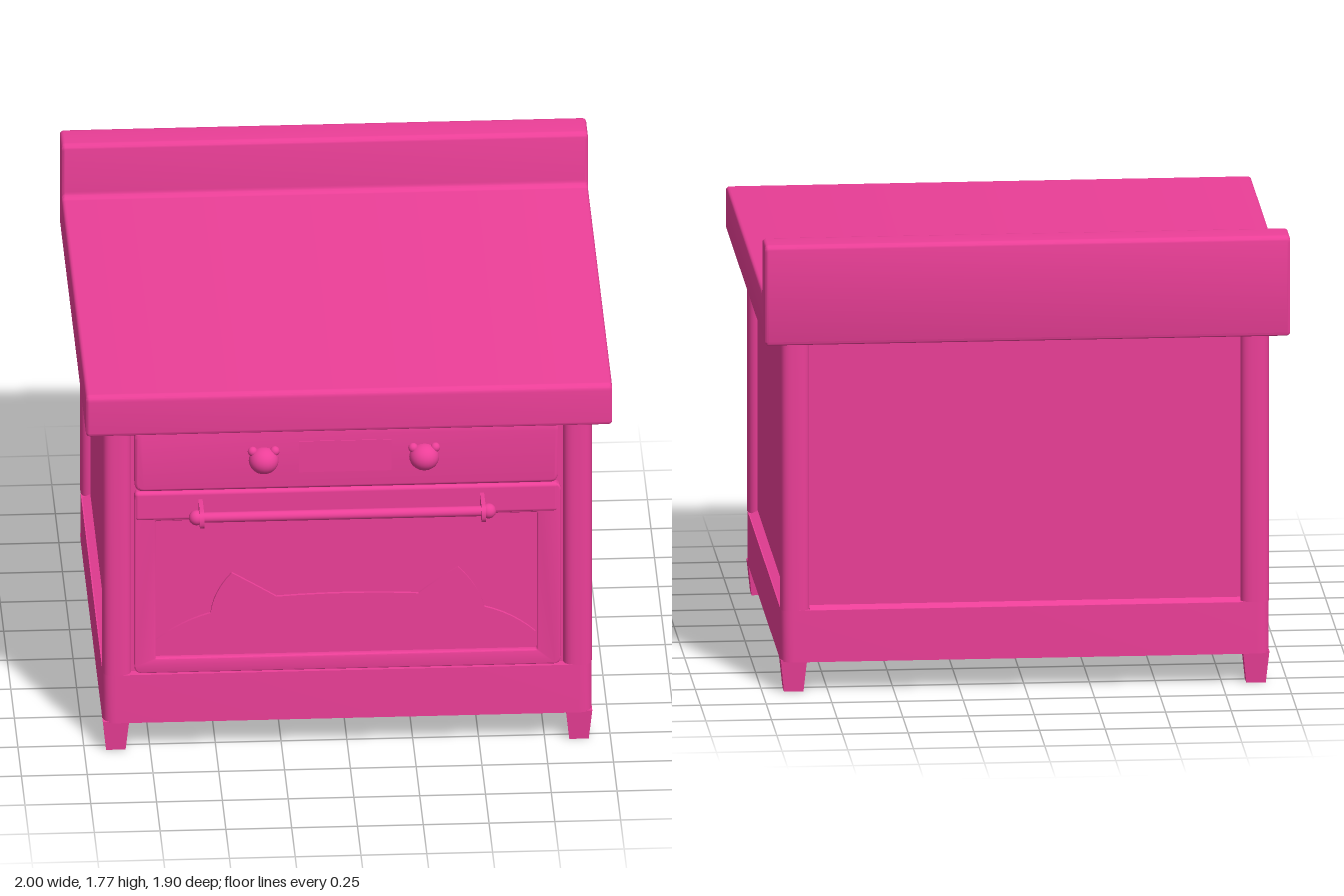
import * as THREE from 'three';
import { toCreasedNormals } from 'three/addons/utils/BufferGeometryUtils.js';
import { RoundedBoxGeometry } from 'three/addons/geometries/RoundedBoxGeometry.js';

const pink = new THREE.MeshStandardMaterial({ color: 0xec3f98 });

// closed outline with rounded corners; each point is [x, y, radius]
function roundedOutline(points, Type = THREE.Shape) {
  const s = new Type();
  const n = points.length;
  points.forEach(([x, y, r], i) => {
    const towards = ([px, py]) => {
      const d = Math.hypot(px - x, py - y);
      return [x + (px - x) * r / d, y + (py - y) * r / d];
    };
    const a = towards(points[(i + n - 1) % n]);
    const b = towards(points[(i + 1) % n]);
    if (i === 0) s.moveTo(...a); else s.lineTo(...a);
    s.quadraticCurveTo(x, y, ...b);
  });
  s.closePath();
  return s;
}

const rect = (x0, y0, x1, y1, r, Type) =>
  roundedOutline([[x0, y0, r], [x1, y0, r], [x1, y1, r], [x0, y1, r]], Type);

function extrude(shape, depth, bevel = 0) {
  const g = new THREE.ExtrudeGeometry(shape, {
    depth: depth - 2 * bevel, curveSegments: 6, bevelEnabled: bevel > 0,
    bevelSize: bevel, bevelThickness: bevel, bevelOffset: -bevel, bevelSegments: 3,
  });
  g.translate(0, 0, bevel);
  return toCreasedNormals(g, 0.6);
}

export function createModel() {
  const model = new THREE.Group();
  model.name = 'stove';

  function add(name, geometry, x = 0, y = 0, z = 0, parent = model) {
    const mesh = new THREE.Mesh(geometry, pink);
    mesh.name = name;
    mesh.position.set(x, y, z);
    parent.add(mesh);
    return mesh;
  }

  // horizontal slab with rounded footprint, between two heights
  function slab(name, x0, z0, x1, z1, r, y0, y1) {
    const g = extrude(rect(x0, -z1, x1, -z0, r), y1 - y0);
    g.rotateX(-Math.PI / 2);
    return add(name, g, 0, y0, 0);
  }

  // box given by its limits
  function box(name, x0, y0, z0, x1, y1, z1, r = 0) {
    const size = [x1 - x0, y1 - y0, z1 - z0];
    const g = r ? new RoundedBoxGeometry(...size, 3, r) : new THREE.BoxGeometry(...size);
    return add(name, g, (x0 + x1) / 2, (y0 + y1) / 2, (z0 + z1) / 2);
  }

  // countertop and backsplash as one profile in z and y, swept along x
  const top = extrude(roundedOutline([
    [-0.95, 1.385, 0.015], [0.92, 1.385, 0.015], [0.92, 1.555, 0.025],
    [-0.80, 1.555, 0.025], [-0.80, 1.775, 0.025], [-0.95, 1.775, 0.025],
  ]), 2, 0.014);
  top.translate(0, 0, -1);
  top.rotateY(-Math.PI / 2);
  add('countertop', top);

  // body: recessed core, base and top rails, corner posts
  box('core', -0.895, 0.13, -0.805, 0.895, 1.385, 0.775);
  slab('baseRail', -0.93, -0.84, 0.93, 0.81, 0.05, 0.12, 0.322);
  slab('topRail', -0.925, -0.835, 0.925, 0.805, 0.05, 1.365, 1.386);
  for (const side of [-1, 1]) {
    for (const [z0, z1, legZ] of [[-0.84, -0.73, -0.775], [0.70, 0.81, 0.755]]) {
      const x0 = side > 0 ? 0.82 : -0.93;
      slab('cornerPost', x0, z0, x0 + 0.11, z1, 0.045, 0.32, 1.375);

      // tapered square foot
      const leg = new THREE.CylinderGeometry(0.05 * Math.SQRT2, 0.037 * Math.SQRT2, 0.125, 4)
        .toNonIndexed();
      leg.rotateY(Math.PI / 4);
      leg.computeVertexNormals();
      add('leg', leg, side * 0.88, 0.0625, legZ);
    }
  }

  // sloping sills below the recessed panels
  const sill = roundedOutline([[0, 0, 0], [0.035, 0, 0], [0, 0.015, 0]]);
  for (const [length, turn, x, z] of [
    [1.43, 0, 0.895, -0.73], [1.43, Math.PI, -0.895, 0.70], [1.64, Math.PI / 2, -0.82, -0.805],
  ]) {
    add('sill', extrude(sill, length), x, 0.32, z).rotation.y = turn;
  }

  // oven door: frame with window opening, rail for the handle, glass
  const door = rect(-0.81, 0.328, 0.81, 1.09, 0.03);
  door.holes.push(rect(-0.73, 0.39, 0.72, 0.97, 0.006, THREE.Path));
  add('doorFrame', extrude(door, 0.04, 0.005), 0, 0, 0.77);
  box('doorRail', -0.81, 0.972, 0.77, 0.80, 1.093, 0.814, 0.015);
  box('windowPane', -0.74, 0.38, 0.76, 0.73, 0.98, 0.785);

  // eared silhouette standing in the window
  const ears = new THREE.Shape();
  ears.moveTo(-0.73, 0.395);
  ears.lineTo(0.715, 0.395);
  ears.lineTo(0.715, 0.46);
  ears.quadraticCurveTo(0.63, 0.54, 0.52, 0.57);
  ears.quadraticCurveTo(0.50, 0.66, 0.42, 0.74);
  ears.quadraticCurveTo(0.34, 0.69, 0.27, 0.633);
  ears.quadraticCurveTo(0, 0.65, -0.27, 0.633);
  ears.quadraticCurveTo(-0.36, 0.69, -0.44, 0.737);
  ears.quadraticCurveTo(-0.51, 0.66, -0.52, 0.57);
  ears.quadraticCurveTo(-0.63, 0.54, -0.73, 0.46);
  add('windowSilhouette', extrude(ears, 0.02), 0, 0, 0.777);

  // control panel with display
  add('controlPanel', extrude(rect(-0.81, 1.1, 0.80, 1.355, 0.035), 0.06, 0.012), 0, 0, 0.762);
  box('display', -0.185, 1.17, 0.80, 0.165, 1.3, 0.825);

  // round knobs with two small ears
  for (const x of [-0.32, 0.29]) {
    const knob = new THREE.Group();
    knob.name = 'knob';
    knob.position.set(x, 1.225, 0.825);
    model.add(knob);
    add('knobFace', new THREE.SphereGeometry(0.057, 24, 16), 0, 0, 0, knob).scale.y = 0.92;
    for (const side of [-1, 1]) {
      add('knobEar', new THREE.SphereGeometry(0.019, 14, 10), side * 0.042, 0.038, 0, knob);
    }
  }

  // handle bar with ball ends and two mounting plates
  const bar = new THREE.CylinderGeometry(0.02, 0.02, 1.12, 20);
  bar.rotateZ(Math.PI / 2);
  add('handleBar', bar, -0.025, 1.028, 0.905);
  for (const side of [-1, 1]) {
    add('handleEnd', new THREE.SphereGeometry(0.029, 20, 14), -0.025 + side * 0.555, 1.028, 0.905);
    const bracket = extrude(rect(0.79, 0.994, 0.953, 1.062, 0.033), 0.016);
    bracket.translate(0, 0, -0.008);
    bracket.rotateY(-Math.PI / 2);
    add('handleBracket', bracket, -0.025 + side * 0.535, 0, 0);
  }

  return model;
}
